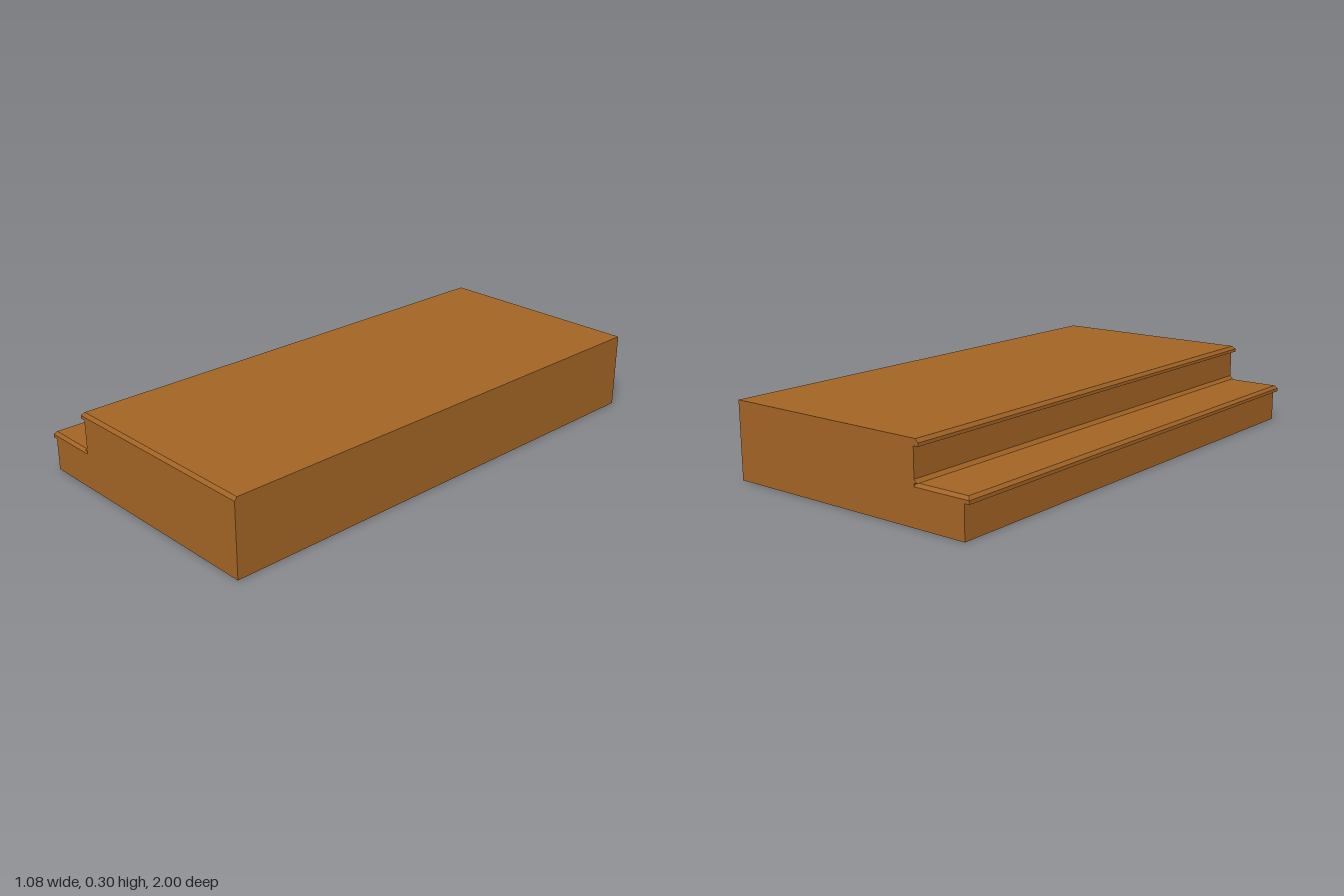
import * as THREE from 'three';

const wood = new THREE.MeshStandardMaterial({ color: 0xa36424, side: THREE.DoubleSide });
wood.name = 'brown wood';

// Runs an x-y profile along the full length of the platform
function runAlongZ(points) {
  const shape = new THREE.Shape(points.map(([x, y]) => new THREE.Vector2(x, y)));
  return new THREE.ExtrudeGeometry(shape, { depth: 2, bevelEnabled: false }).translate(0, 0, -1);
}

// Board with a bevelled -x edge; its top can also be drawn in at the front and back
function bevelledBoard(x0, x1, y0, y1, front, back) {
  const g = runAlongZ([[x0, y0], [x1, y0], [x1, y1], [x0 + 0.01, y1]]);
  const p = g.attributes.position;
  for (let i = 0; i < p.count; i++) {
    if (p.getY(i) < (y0 + y1) / 2) continue;
    p.setZ(i, p.getZ(i) > 0 ? 1 - front : -1 + back);
  }
  g.computeVertexNormals();
  return g;
}

export function createModel() {
  const model = new THREE.Group();
  model.name = 'steppedPlatform';

  const add = (name, geometry) => {
    const mesh = new THREE.Mesh(geometry, wood);
    mesh.name = name;
    model.add(mesh);
    return mesh;
  };

  // Upright sheet facing along x
  const sideSheet = (name, x, y0, y1, facing) => {
    const mesh = add(name, new THREE.PlaneGeometry(2, y1 - y0));
    mesh.position.set(x, (y0 + y1) / 2, 0);
    mesh.rotation.y = facing * Math.PI / 2;
  };

  // Deck and tread boards
  add('deckBoard', bevelledBoard(-0.33, 0.54, 0.284, 0.297, 0.01, 0));
  add('treadBoard', bevelledBoard(-0.54, -0.31, 0.138, 0.15, 0.01, 0.01));

  // Nosing strips below the overhanging edges
  add('deckNosing', runAlongZ([[-0.33, 0.272], [-0.31, 0.272], [-0.31, 0.284], [-0.33, 0.284]]));
  add('treadNosing', runAlongZ([[-0.54, 0.125], [-0.515, 0.125], [-0.515, 0.138], [-0.54, 0.138]]));

  // Small moulding where the tread meets the upper riser
  add('coveMoulding', runAlongZ([[-0.322, 0.15], [-0.31, 0.15], [-0.31, 0.163]]));

  // Long walls
  sideSheet('upperRiser', -0.31, 0.138, 0.284, -1);
  sideSheet('lowerRiser', -0.52, 0, 0.138, -1);
  sideSheet('longWall', 0.54, 0, 0.284, 1);

  // Stepped end walls
  const outline = new THREE.Shape([
    [-0.52, 0], [0.54, 0], [0.54, 0.284], [-0.31, 0.284], [-0.31, 0.138], [-0.52, 0.138],
  ].map(([x, y]) => new THREE.Vector2(x, y)));
  const frontWall = add('frontWall', new THREE.ShapeGeometry(outline));
  frontWall.position.z = 1;
  const backGeometry = new THREE.ShapeGeometry(outline).rotateY(Math.PI).scale(-1, 1, 1);
  // Mirroring flips the corner order, so restore it
  const index = backGeometry.index;
  for (let i = 0; i < index.count; i += 3) {
    const a = index.getX(i);
    index.setX(i, index.getX(i + 2));
    index.setX(i + 2, a);
  }
  backGeometry.computeVertexNormals();
  const backWall = add('backWall', backGeometry);
  backWall.position.z = -1;

  // Floor strip under the lower step; the rest is open below
  const floor = add('stepFloor', new THREE.PlaneGeometry(0.21, 2));
  floor.position.set(-0.415, 0, 0);
  floor.rotation.x = Math.PI / 2;

  return model;
}
